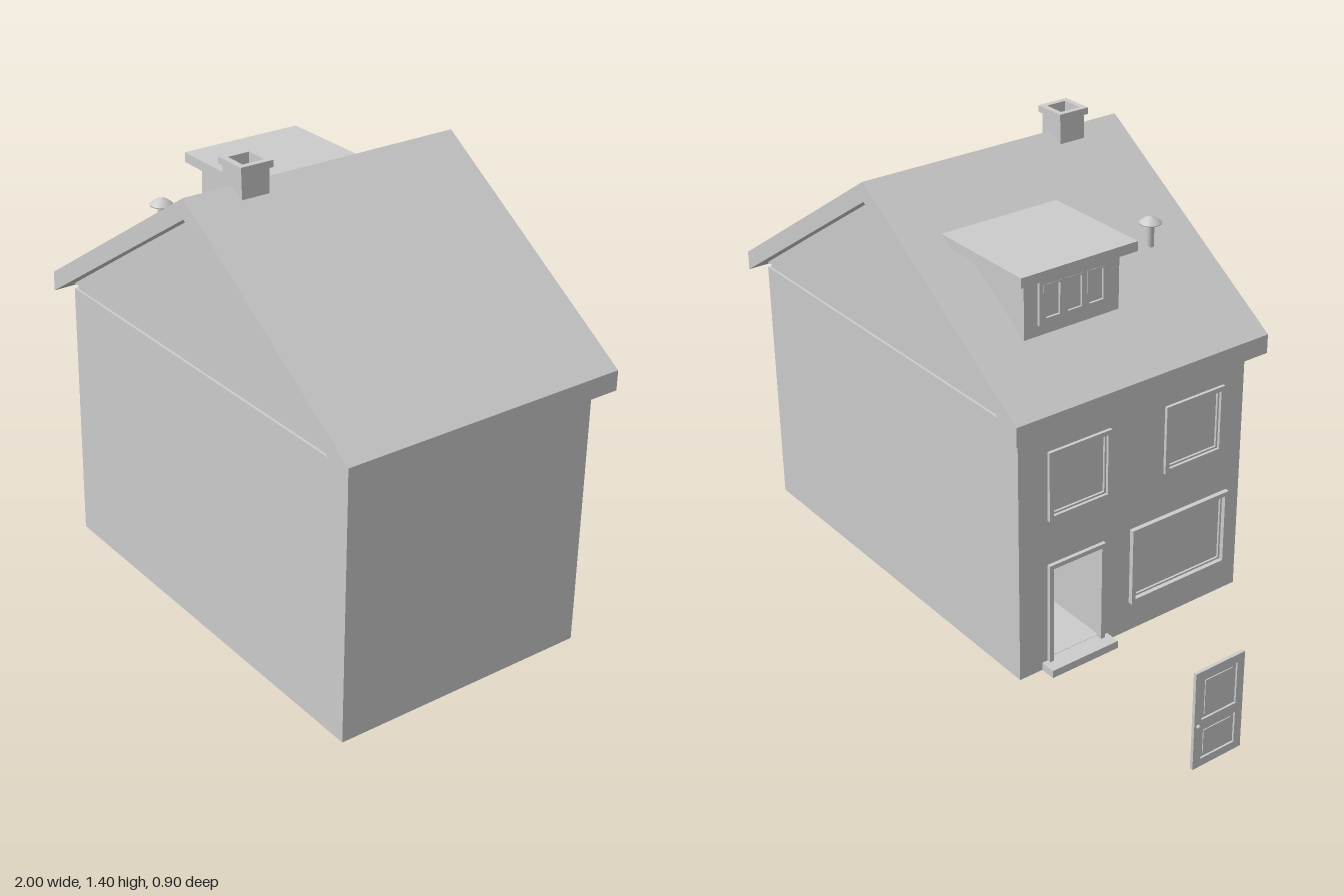
import * as THREE from 'three';

const mat = new THREE.MeshStandardMaterial({ color: 0xcccccc, side: THREE.DoubleSide, flatShading: true });
const smooth = new THREE.MeshStandardMaterial({ color: 0xcccccc, side: THREE.DoubleSide });

function add(parent, name, geometry, material = mat) {
  const mesh = new THREE.Mesh(geometry, material);
  mesh.name = name;
  parent.add(mesh);
  return mesh;
}

// Box given by its limits on each axis
function box(parent, name, x0, x1, y0, y1, z0, z1) {
  const mesh = add(parent, name, new THREE.BoxGeometry(x1 - x0, y1 - y0, z1 - z0));
  mesh.position.set((x0 + x1) / 2, (y0 + y1) / 2, (z0 + z1) / 2);
  return mesh;
}

const poly = (pts) => new THREE.Shape(pts.map(([x, y]) => new THREE.Vector2(x, y)));
const rect = ([a, b, c, d]) => poly([[a, c], [b, c], [b, d], [a, d]]);

// Upright plate across z and y, [z0, z1, y0, y1], with holes; grows from x towards -x
function plate(parent, name, x, depth, outer, holes) {
  const shape = rect(outer);
  shape.holes = holes.map(rect);
  const g = new THREE.ExtrudeGeometry(shape, { depth, bevelEnabled: false });
  g.rotateY(-Math.PI / 2);
  g.translate(x, 0, 0);
  return add(parent, name, g);
}

// Profile across x and y, extruded along z about the middle
function prism(parent, name, pts, half) {
  const g = new THREE.ExtrudeGeometry(poly(pts), { depth: 2 * half, bevelEnabled: false });
  g.translate(0, 0, -half);
  return add(parent, name, g);
}

// Framed window with evenly spaced panes
function addWindow(parent, name, wallX, [z0, z1, y0, y1], out, rim, panes = 1) {
  const group = new THREE.Group();
  group.name = name;
  parent.add(group);
  const step = (z1 - z0 - rim) / panes;
  const holes = [];
  for (let i = 0; i < panes; i++) {
    holes.push([z0 + rim + i * step, z0 + (i + 1) * step, y0 + rim, y1 - rim]);
  }
  plate(group, 'windowFrame', wallX + 0.01, out + 0.01, [z0, z1, y0, y1], holes);
  // narrow inner sash and pane
  holes.forEach(([a, b, c, d]) => {
    const s = 0.006;
    plate(group, 'windowSash', wallX + 0.01, 0.011, [a, b, c, d], [[a + s, b - s, c + s, d - s]]);
    box(group, 'windowPane', wallX + 0.006, wallX + 0.009, c, d, a, b);
  });
}

export function createModel() {
  const model = new THREE.Group();
  model.name = 'house';
  const L = -0.37, R = 0.95, D = 0.41, H = 0.82, T = 0.01;

  // Walls, open underneath
  const windows = [
    ['upperWindowA', [-0.31, -0.09, 0.5, 0.72], 0.01],
    ['upperWindowB', [0.11, 0.33, 0.5, 0.72], 0.01],
    ['lowerWindow', [-0.01, 0.36, 0.1, 0.355], 0.015],
  ];
  const doorway = [-0.297, -0.123, 0.025, 0.34];
  plate(model, 'entranceWall', L + T, T, [-D, D, 0, H], [
    ...windows.map(([, [a, b, c, d]]) => [a + 0.005, b - 0.005, c + 0.005, d - 0.005]),
    doorway,
  ]);
  box(model, 'farWall', R - T, R, 0, H, -D, D);
  for (const s of [-1, 1]) {
    const z = s * (D - T / 2);
    box(model, 'gableWall', L + T, R - T, 0, H, z - T / 2, z + T / 2);
  }
  windows.forEach(([name, r, out]) => addWindow(model, name, L, r, out, 0.014));

  // Recessed band, attic and roof
  box(model, 'wallTopBand', L + 0.008, R - 0.008, H - 0.002, 0.838, -D + 0.008, D - 0.008);
  prism(model, 'attic', [[L, 0.836], [R, 0.836], [0.29, 1.272]], D);
  prism(model, 'roof', [[-0.42, 0.805], [0.29, 1.27], [1, 0.805], [1, 0.865], [0.29, 1.33], [-0.42, 0.865]], 0.45);

  // Entrance: surround, hall and step
  const [dz0, dz1, dy0, dy1] = doorway;
  plate(model, 'doorSurround', L, 0.012, [dz0 - 0.014, dz1 + 0.014, dy0, dy1 + 0.014],
    [[dz0, dz1, dy0, dy1]]);
  const hall = new THREE.Group();
  hall.name = 'entranceHall';
  model.add(hall);
  const hx = 0.11, hz0 = -0.31, hz1 = -0.11, hy = 0.355;
  box(hall, 'hallFloor', L + T, hx, 0.02, 0.026, hz0, hz1);
  box(hall, 'hallCeiling', L + T, hx, hy, hy + 0.006, hz0, hz1);
  box(hall, 'hallEnd', hx - 0.006, hx, 0.026, hy, hz0, hz1);
  box(hall, 'hallSideA', L + T, hx, 0.026, hy, hz0, hz0 + 0.006);
  box(hall, 'hallSideB', L + T, hx, 0.026, hy, hz1 - 0.006, hz1);
  box(model, 'doorstep', -0.42, L + T, 0, 0.025, -0.33, -0.09);

  // Detached door leaf with two sunken panels and a knob
  const door = new THREE.Group();
  door.name = 'door';
  model.add(door);
  const z0 = -0.3, z1 = -0.13;
  box(door, 'doorBack', -0.985, -0.981, 0.025, 0.338, z0, z1);
  const panels = [[z0 + 0.025, z1 - 0.025, 0.05, 0.15], [z0 + 0.025, z1 - 0.025, 0.18, 0.313]];
  plate(door, 'doorFrame', -0.985, 0.006, [z0, z1, 0.025, 0.338], panels);
  panels.forEach(([a, b, c, d]) =>
    box(door, 'doorPanel', -0.988, -0.984, c + 0.012, d - 0.012, a + 0.012, b - 0.012));
  const knob = add(door, 'doorKnob', new THREE.SphereGeometry(0.006, 12, 8), smooth);
  knob.position.set(-0.994, 0.165, z0 + 0.012);

  // Flat-roofed dormer
  const dormer = new THREE.Group();
  dormer.name = 'dormer';
  model.add(dormer);
  prism(dormer, 'dormerBody', [[-0.227, 0.97], [0.06, 1.16], [0.06, 1.178], [-0.227, 1.178]], 0.165)
    .position.z = -0.115;
  prism(dormer, 'dormerRoof', [[-0.27, 1.175], [0.13, 1.175], [0.1, 1.205], [-0.27, 1.205]], 0.2)
    .position.z = -0.12;
  addWindow(dormer, 'dormerWindow', -0.238, [-0.235, 0.005, 1.025, 1.16], 0, 0.014, 3);

  // Hollow chimney with a projecting rim
  const chimney = new THREE.Group();
  chimney.name = 'chimney';
  model.add(chimney);
  const ring = (name, half, hole, y0, y1) => {
    const shape = rect([-half, half, -half, half]);
    shape.holes = [rect([-hole, hole, -hole, hole])];
    const g = new THREE.ExtrudeGeometry(shape, { depth: y1 - y0, bevelEnabled: false });
    g.rotateX(-Math.PI / 2);
    add(chimney, name, g).position.set(0.289, y0, 0.252);
  };
  ring('chimneyStack', 0.044, 0.034, 1.28, 1.378);
  ring('chimneyRim', 0.052, 0.034, 1.376, 1.396);

  // Vent pipe with a mushroom cap
  const vent = new THREE.Group();
  vent.name = 'roofVent';
  vent.position.set(-0.09, 0, 0.277);
  model.add(vent);
  add(vent, 'ventPipe', new THREE.CylinderGeometry(0.012, 0.012, 0.11, 20), smooth).position.y = 1.1;
  const cap = [[0, 1.146], [0.033, 1.146], [0.033, 1.149], [0.018, 1.161], [0, 1.168]];
  add(vent, 'ventCap', new THREE.LatheGeometry(cap.map(([r, y]) => new THREE.Vector2(r, y)), 24), smooth);

  return model;
}
